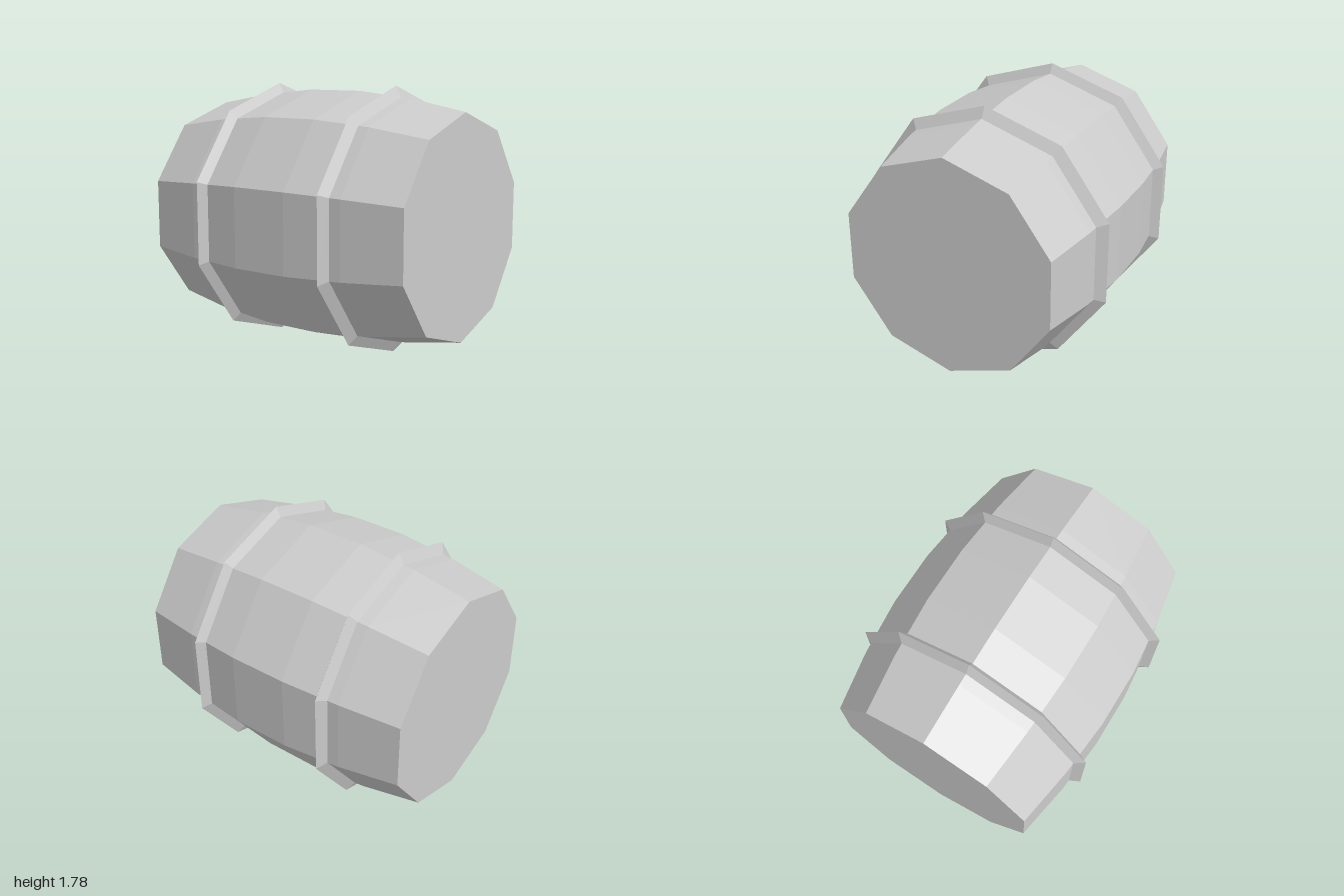
import * as THREE from 'three';

const SIDES = 10;
const CENTRE_Y = 0.89;

// Ten-sided solid of revolution lying along x, with a corner pointing straight up
function turned(name, profile, x = 0) {
  const points = profile.map(([radius, along]) => new THREE.Vector2(radius, along));
  const geometry = new THREE.LatheGeometry(points, SIDES, Math.PI / 2);
  geometry.rotateZ(-Math.PI / 2);
  const material = new THREE.MeshStandardMaterial({ color: 0xcccccc, flatShading: true });
  const mesh = new THREE.Mesh(geometry, material);
  mesh.name = name;
  mesh.position.set(x, CENTRE_Y, 0);
  return mesh;
}

export function createModel() {
  const barrel = new THREE.Group();
  barrel.name = 'barrel';

  // Bulging body with flat closed ends
  barrel.add(turned('body', [
    [0, -1], [0.738, -1], [0.81, -0.6], [0.85, -0.2],
    [0.85, 0.2], [0.81, 0.6], [0.738, 1], [0, 1],
  ]));

  // Ridged hoops, diamond in section and half sunk into the body
  for (const [name, x] of [['rightHoop', -0.487], ['leftHoop', 0.487]]) {
    barrel.add(turned(name, [
      [0.815, -0.04], [0.89, 0], [0.815, 0.04], [0.74, 0], [0.815, -0.04],
    ], x));
  }
  return barrel;
}
